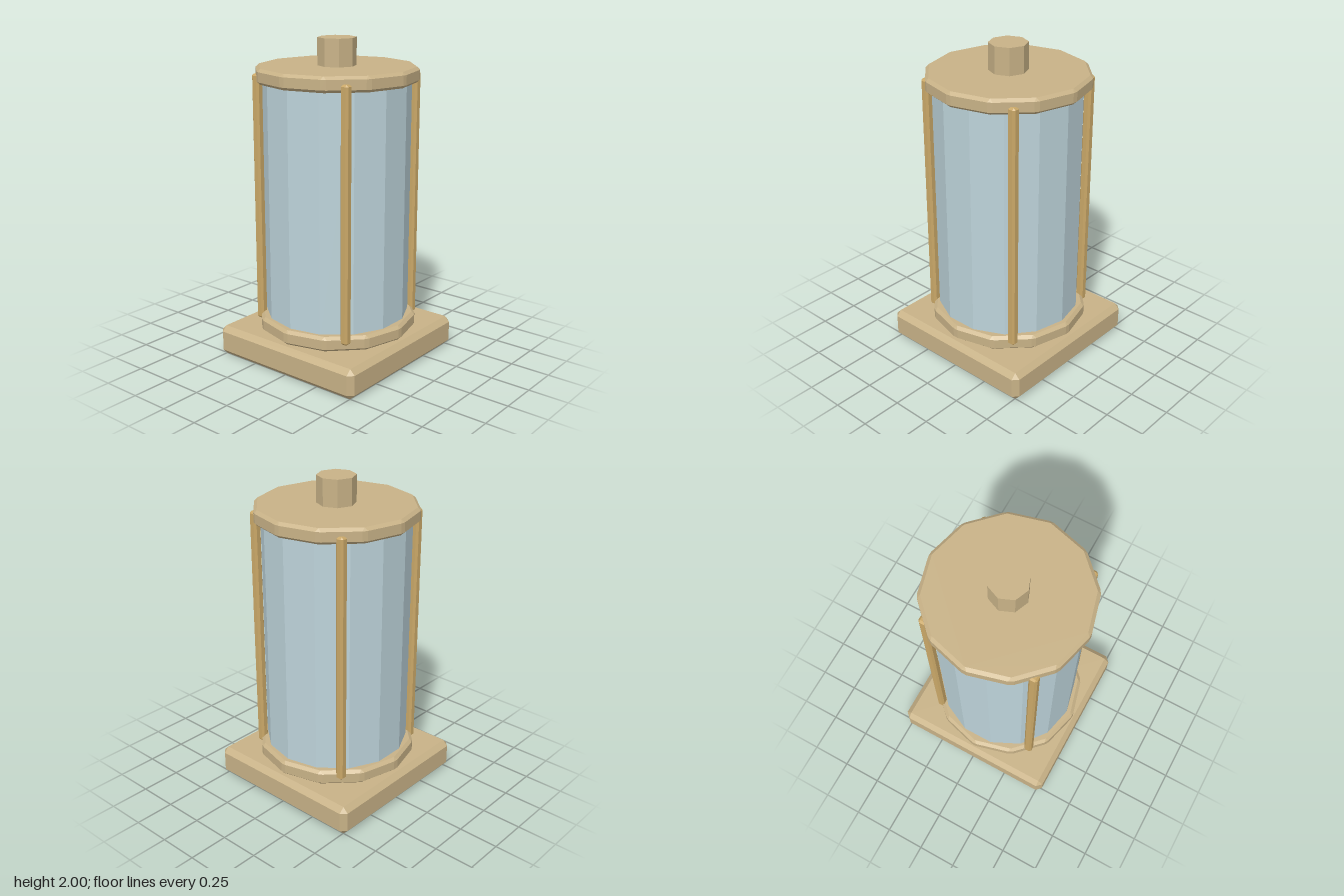
import * as THREE from 'three';
import { ConvexGeometry } from 'three/addons/geometries/ConvexGeometry.js';

const mat = (name, color) => {
  const m = new THREE.MeshStandardMaterial({ color, flatShading: true });
  m.name = name;
  return m;
};

// Box centred on the origin with every edge chamfered by c
function chamferBox(w, h, d, c) {
  const pts = [];
  const half = [w / 2, h / 2, d / 2];
  for (const sx of [-1, 1]) for (const sy of [-1, 1]) for (const sz of [-1, 1])
    for (let out = 0; out < 3; out++) {
      const p = half.map((v, i) => (i === out ? v : v - c));
      pts.push(new THREE.Vector3(sx * p[0], sy * p[1], sz * p[2]));
    }
  return new ConvexGeometry(pts);
}

// Twelve-sided disc with chamfered rims and slightly clipped corners
function chamferDisc(r, h, c) {
  const pts = [];
  const add = (rad, y, a) => pts.push(new THREE.Vector3(rad * Math.sin(a), y, rad * Math.cos(a)));
  for (let i = 0; i < 12; i++) {
    const a = (i * Math.PI) / 6;
    for (const s of [-1, 1]) {
      add(r - c, (s * h) / 2, a);
      for (const clip of [-0.032, 0.032]) add(r, s * (h / 2 - c), a + clip);
    }
  }
  return new ConvexGeometry(pts);
}

export function createModel() {
  const group = new THREE.Group();
  const metal = mat('pale brass', 0xc8b287);
  const gold = mat('golden brass', 0xcaa868);
  const glass = mat('pale blue glass', 0xbdd3da);

  const add = (name, geometry, material, x, y, z) => {
    const mesh = new THREE.Mesh(geometry, material);
    mesh.name = name;
    mesh.position.set(x, y, z);
    group.add(mesh);
  };

  // Square plinth
  add('base', chamferBox(1.066, 0.19, 1.066, 0.033), metal, 0, 0.095, 0);

  // Discs holding the glass
  add('lowerDisc', chamferDisc(0.495, 0.093, 0.017), metal, 0, 0.24, 0);
  add('upperDisc', chamferDisc(0.495, 0.093, 0.017), metal, 0, 1.787, 0);

  // Faceted glass body
  add('glassCylinder', new THREE.CylinderGeometry(0.45, 0.45, 1.52, 14), glass, 0, 1.015, 0);

  // Corner rods
  const rod = chamferBox(0.053, 1.55, 0.053, 0.012);
  for (const x of [-1, 1]) for (const z of [-1, 1])
    add('cornerRod', rod, gold, x * 0.337, 1.015, z * 0.337);

  // Octagonal knob on top
  add('topKnob', new THREE.CylinderGeometry(0.118, 0.118, 0.18, 8), metal, 0, 1.91, 0);

  return group;
}
